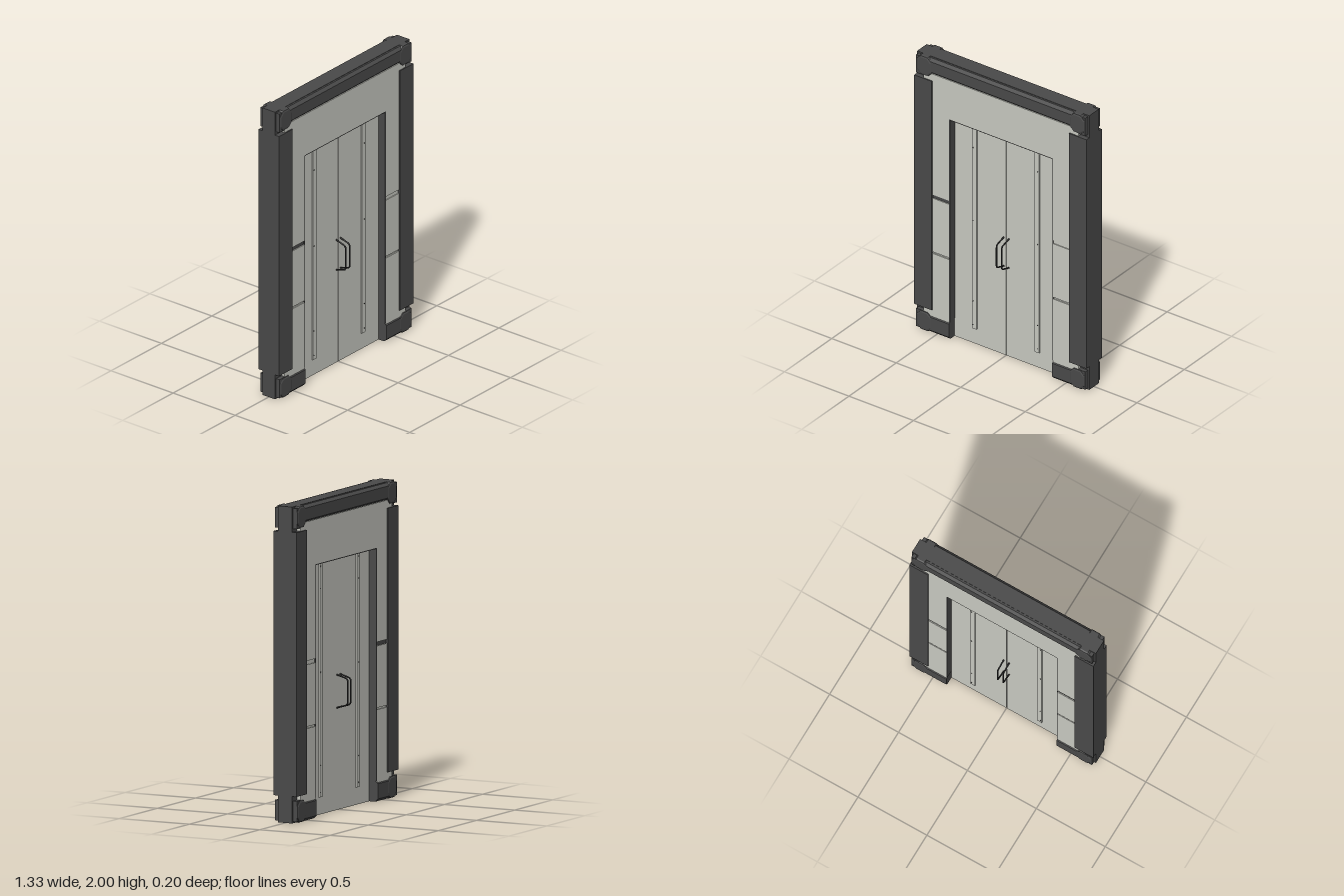
import * as THREE from 'three';

const mat = (name, color, side = THREE.FrontSide) => {
  const m = new THREE.MeshStandardMaterial({ color, side });
  m.name = name;
  return m;
};

export function createModel() {
  const dark = mat('dark frame', 0x4a4a4a);
  const light = mat('pale panel', 0xc9cac2);
  const black = mat('handle metal', 0x2c2c2c);
  const root = new THREE.Group();
  root.name = 'framedDoubleDoor';

  const add = (name, geo, material, x = 0, y = 0, z = 0, parent = root) => {
    const m = new THREE.Mesh(geo, material);
    m.name = name;
    m.position.set(x, y, z);
    parent.add(m);
    return m;
  };
  // Box given by its limits, symmetric in z unless z0 is set
  const box = (name, material, x0, x1, y0, y1, z1, z0 = -z1) =>
    add(name, new THREE.BoxGeometry(x1 - x0, y1 - y0, z1 - z0), material,
      (x0 + x1) / 2, (y0 + y1) / 2, (z0 + z1) / 2);
  const polygon = pts => new THREE.Shape(pts.map(p => new THREE.Vector2(...p)));

  // Horizontal beam with chamfered long edges
  const beam = (name, x0, x1, y0, y1) => {
    const d = 0.08, c = 0.018;
    const geo = new THREE.ExtrudeGeometry(polygon([
      [-d + c, y0], [d - c, y0], [d, y0 + c], [d, y1 - c],
      [d - c, y1], [-d + c, y1], [-d, y1 - c], [-d, y0 + c],
    ]), { depth: x1 - x0, bevelEnabled: false });
    geo.rotateY(Math.PI / 2);
    add(name, geo, dark, x0);
  };
  beam('topBeam', -0.6, 0.6, 1.885, 1.997);
  box('topBeamSpine', dark, -0.6, 0.6, 1.9, 2, 0.05);

  // Clamp at a frame corner: a rounded block, bevelled front and back
  const cornerBlock = (side, top) => {
    const w = 0.048, h = 0.057, c = 0.025, bevel = 0.013;
    const geo = new THREE.ExtrudeGeometry(polygon([
      [-w + c, -h], [w - c, -h], [w, -h + c], [w, h - c],
      [w - c, h], [-w + c, h], [-w, h - c], [-w, -h + c],
    ]), { depth: 0.138, bevelThickness: bevel, bevelSize: bevel, bevelSegments: 2 });
    geo.translate(0, 0, -0.069);
    add('cornerClamp', geo, dark, side * 0.593, top ? 1.93 : 0.07);
    const [y0, y1] = top ? [1.84, 2] : [0, 0.17];
    const [x0, x1] = side > 0 ? [0.56, 0.667] : [-0.667, -0.56];
    box('cornerPlate', dark, x0, x1, y0, y1, 0.05);
    // Side cheeks with a slim gap down the middle
    for (const s of [-1, 1]) {
      const b = top ? 1.86 : 0.01;
      box('cornerCheek', dark, Math.min(side * 0.6, side * 0.655), Math.max(side * 0.6, side * 0.655),
        b, b + 0.13, s > 0 ? 0.077 : -0.002, s > 0 ? 0.002 : -0.077);
    }
  };

  for (const s of [-1, 1]) {
    const span = (a, b) => (s > 0 ? [a, b] : [-b, -a]);
    box('sidePost', dark, ...span(0.532, 0.667), 0.17, 1.84, 0.082);
    beam('footBeam', ...span(0.4, 0.6), 0, 0.132);
    cornerBlock(s, true);
    cornerBlock(s, false);

    // Wall beside the opening, in three stacked panels
    box('lowerPanel', light, ...span(0.404, 0.6), 0.1, 0.582, 0.074);
    box('middlePanel', light, ...span(0.404, 0.6), 0.594, 0.985, 0.074);
    box('upperPanel', light, ...span(0.404, 0.6), 1.01, 1.89, 0.074);
    box('lowerGroove', light, ...span(0.404, 0.55), 0.582, 0.594, 0.066);
    box('upperGroove', s < 0 ? dark : light, ...span(0.404, 0.55), 0.985, 1.01, 0.068);
    box('jamb', dark, ...span(0.398, 0.404), 0.13, 1.605, 0.073);
  }

  // Wall above the opening
  box('headerPanel', light, -0.404, 0.404, 1.606, 1.89, 0.074);
  box('lintel', dark, -0.4, 0.4, 1.6, 1.606, 0.073);

  // Two door leaves with a narrow seam between them
  box('doorSeam', black, -0.004, 0.004, 0.002, 1.6, 0.012);
  for (const s of [-1, 1]) {
    const span = (a, b) => (s > 0 ? [a, b] : [-b, -a]);
    box('doorLeaf', light, ...span(0.002, 0.4), 0, 1.601, 0.018);
    for (const f of [-1, 1]) {
      // Raised strip with small screws
      box('doorStrip', light, ...span(0.225, 0.26), 0.11, 1.59,
        f > 0 ? 0.026 : -0.018, f > 0 ? 0.018 : -0.026);
      for (const y of [0.14, 0.31, 0.9, 1.43, 1.57]) {
        const screw = new THREE.CylinderGeometry(0.0035, 0.0035, 0.003, 8);
        screw.rotateX(Math.PI / 2);
        add('stripScrew', screw, black, s * 0.25, y, f * 0.027);
      }
      // Pull handle with slanted arms
      const path = new THREE.CurvePath();
      const pts = [[0.645, 0.016], [0.665, 0.085], [0.678, 0.094],
        [0.822, 0.094], [0.835, 0.085], [0.855, 0.016]]
        .map(([y, z]) => new THREE.Vector3(s * 0.02, y, f * z));
      for (let i = 1; i < pts.length; i++) path.add(new THREE.LineCurve3(pts[i - 1], pts[i]));
      add('pullHandle', new THREE.TubeGeometry(path, 48, 0.005, 8), black);
    }
  }
  return root;
}
